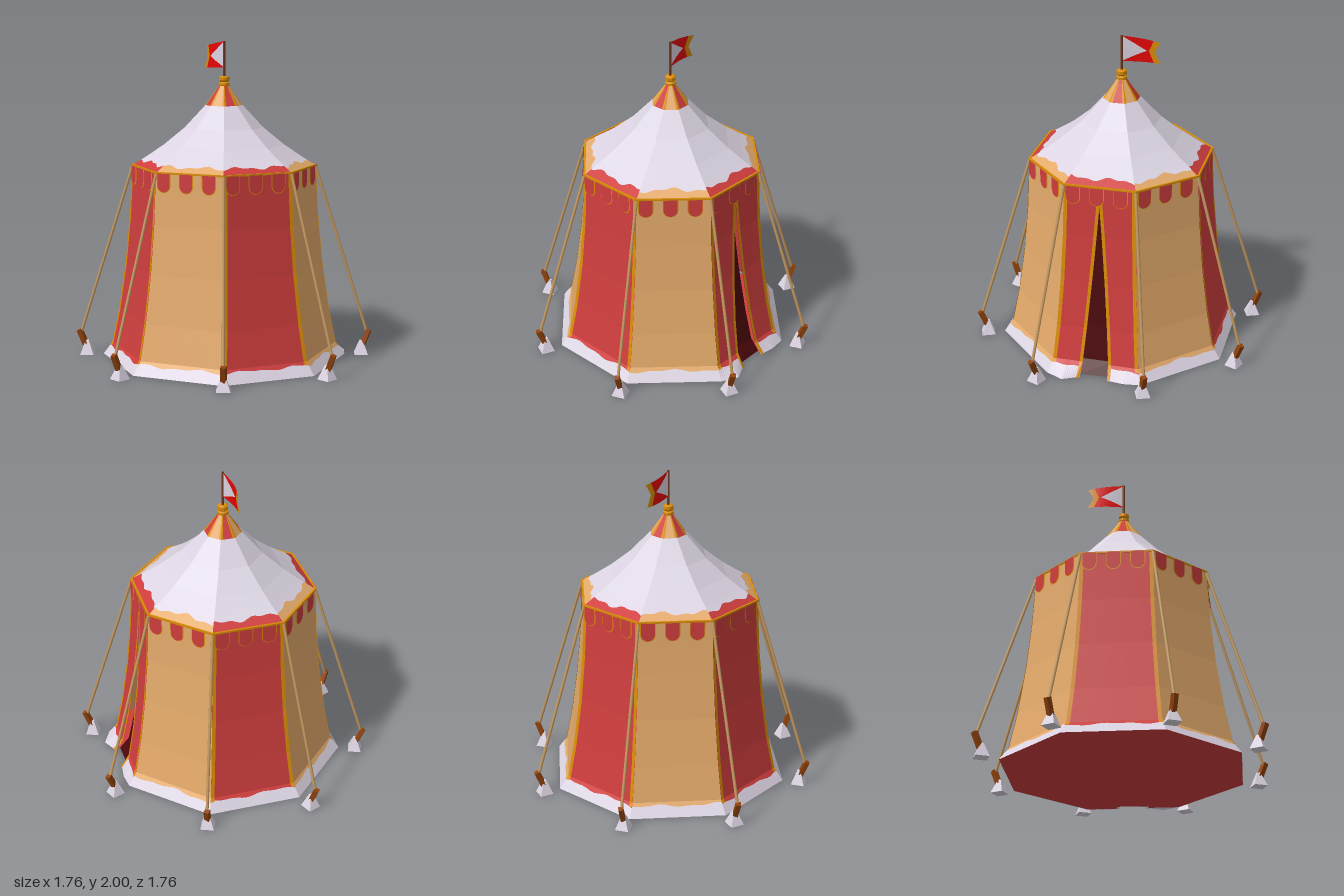
import * as THREE from 'three';

const mat = (name, color, side = THREE.FrontSide, flatShading = true) => {
  const m = new THREE.MeshStandardMaterial({ color, side, flatShading });
  m.name = name;
  return m;
};
const D = THREE.DoubleSide;
const M = {
  red: mat('red cloth', 0xcf3d3d, D),
  tan: mat('tan cloth', 0xe4aa6b, D),
  white: mat('white cloth', 0xdcd4e2, D),
  gold: mat('gold trim', 0xd98c06, D),
  flagRed: mat('flag red', 0xe60606, D),
  dark: mat('dark interior', 0x4a0608, D),
  wood: mat('stake wood', 0x90420c),
  pole: mat('pole wood', 0x70381e, THREE.FrontSide, false),
  rope: mat('rope', 0xc2975f, THREE.FrontSide, false),
};

// Grid surface from a rule f(a, b) with a, b in 0..1
function surface(name, f, nu, nv, material) {
  const p = [];
  for (let j = 0; j < nv; j++) for (let i = 0; i < nu; i++) {
    const q = (a, b) => f((i + a) / nu, (j + b) / nv);
    p.push(...q(0, 0), ...q(1, 0), ...q(1, 1), ...q(0, 0), ...q(1, 1), ...q(0, 1));
  }
  const g = new THREE.BufferGeometry();
  g.setAttribute('position', new THREE.Float32BufferAttribute(p, 3));
  g.computeVertexNormals();
  const m = new THREE.Mesh(g, material);
  m.name = name;
  return m;
}

// Profiles: [height, distance from centre to the flat side]
const WALL = [[0, 0.715], [0.08, 0.66], [0.3, 0.618], [0.6, 0.577], [0.9, 0.55], [1.1, 0.54], [1.22, 0.535]];
const ROOF = [[1.22, 0.535], [1.28, 0.447], [1.35, 0.352], [1.46, 0.228], [1.6, 0.108], [1.7, 0.042], [1.73, 0.025]];
const T = Math.tan(Math.PI / 8);
function apothem(profile, y) {
  let i = 1;
  while (i < profile.length - 1 && profile[i][0] < y) i++;
  const [y0, a0] = profile[i - 1], [y1, a1] = profile[i];
  return a0 + (a1 - a0) * (y - y0) / (y1 - y0);
}

// Point on side k of the octagon; u runs -1..1 across it
function onSide(k, profile, u, y, off = 0) {
  const t = k * Math.PI / 4, a = apothem(profile, y), w = a * T * u;
  // gathered hem beside the doorway
  let flare = 0;
  if (profile === WALL && k === 0 && y < 0.08)
    flare = (u < 0 ? 0.05 : 0.012) * (1 - y / 0.08) * Math.max(0, 1 - Math.abs(Math.abs(u) - 0.65) / 0.35);
  const r = a + off + flare;
  return [r * Math.cos(t) + w * Math.sin(t), y, r * Math.sin(t) - w * Math.cos(t)];
}

// Cloth on one side, one strip per profile step; lo, hi are heights by u; uRange gives edges by y
function cloth(group, name, k, profile, lo, hi, uRange, material, nu = 1, off = 0) {
  const mid = profile.map(p => p[0]).filter(y => y > lo(0) + 0.008 && y < hi(0) - 0.008);
  const rows = [lo, ...mid.map(y => () => y), hi];
  for (let r = 0; r < rows.length - 1; r++)
    group.add(surface(name, (a, b) => {
      const at = y => { const [u0, u1] = uRange(y); return u0 + (u1 - u0) * a; };
      const guess = at(rows[r + (b > 0.5 ? 1 : 0)](0));
      const y0 = rows[r](guess), y1 = rows[r + 1](guess), y = y0 + (y1 - y0) * b;
      return onSide(k, profile, at(y), y, off);
    }, nu, 1, material));
}

function rod(name, a, b, r, material, sides = 10) {
  const va = new THREE.Vector3(...a), d = new THREE.Vector3(...b).sub(va);
  const m = new THREE.Mesh(new THREE.CylinderGeometry(r, r, d.length(), sides), material);
  m.position.copy(va).addScaledVector(d, 0.5);
  m.quaternion.setFromUnitVectors(new THREE.Vector3(0, 1, 0), d.normalize());
  m.name = name;
  return m;
}

// Round-ended tab hanging down from its origin
function tab(w, h) {
  const s = new THREE.Shape();
  s.moveTo(w, 0);
  s.lineTo(-w, 0);
  s.lineTo(-w, -h + w);
  s.absarc(0, -h + w, w, Math.PI, Math.PI * 2, false);
  return new THREE.ShapeGeometry(s, 8);
}

export function createModel() {
  const root = new THREE.Group();
  root.name = 'tent';
  const part = name => { const g = new THREE.Group(); g.name = name; root.add(g); return g; };
  const walls = part('walls'), roof = part('roof'), trim = part('trim');
  const valance = part('valance'), ropes = part('ropes'), banner = part('banner');

  const full = () => [-1, 1];
  const flat = y => () => y;
  const doorW = y => Math.max(0, 0.088 * (1 - y / 1.1)) / (apothem(WALL, y) * T);
  const tabGeo = tab(0.041, 0.112), edgeGeo = tab(0.046, 0.117);

  for (let k = 0; k < 8; k++) {
    const axial = k % 2 === 0, main = axial ? M.red : M.tan;
    const wave = (y, s) => u => y + s * (0.006 * Math.sin(4.5 * u + k * 2) + 0.004 * Math.sin(10 * u + k));

    // walls with a pale hem; side 0 is parted by the doorway
    const spans = k ? [full] : [y => [-1, -doorW(y)], y => [doorW(y), 1]];
    for (const span of spans) {
      cloth(walls, 'hem', k, WALL, flat(0), wave(0.06, 1), span, M.white, 16);
      cloth(walls, 'wallPanel', k, WALL, wave(0.06, 1), flat(1.22), span, main, 16);
    }

    // roof: coloured border, pale field, coloured cap with gold edges
    cloth(roof, 'roofBorder', k, ROOF, flat(1.22), wave(1.256, 1.1), full, main, 20);
    cloth(roof, 'roofField', k, ROOF, wave(1.256, 1.1), flat(1.6), full, M.white, 20);
    cloth(roof, 'roofCap', k, ROOF, flat(1.6), flat(1.73), () => [-0.7, 0.7], main);
    for (const s of [-1, 1])
      cloth(roof, 'roofCapEdge', k, ROOF, flat(1.6), flat(1.73), () => s > 0 ? [0.7, 1] : [-1, -0.7], M.gold);

    // gold seams down both edges of the red panels, and along the eave
    if (axial) for (const s of [-1, 1]) {
      const seam = y => { const e = 1 - 0.023 / (apothem(WALL, y) * T); return s > 0 ? [e, 1] : [-1, -e]; };
      cloth(trim, 'cornerSeam', k, WALL, flat(0.06), flat(1.22), seam, M.gold, 1, 0.0025);
    }
    const eave = new THREE.Mesh(new THREE.BoxGeometry(0.447, 0.011, 0.012), M.gold);
    eave.name = 'eaveTrim';
    eave.position.set(...onSide(k, WALL, 0, 1.222));
    eave.rotation.y = Math.PI / 2 - k * Math.PI / 4;
    trim.add(eave);

    // scalloped valance outlined in gold
    for (let i = -1; i <= 1; i++) {
      const add = (name, geo, material, off) => {
        const m = new THREE.Mesh(geo, material);
        m.name = name;
        m.position.set(...onSide(k, WALL, i * 0.667 - 0.08, 1.22, off));
        m.rotation.y = Math.PI / 2 - k * Math.PI / 4;
        valance.add(m);
      };
      add('scallopEdge', edgeGeo, M.gold, 0.009);
      add('scallop', tabGeo, M.red, 0.012);
    }

    // guy rope, stake and its stone
    const t = (k + 0.5) * Math.PI / 4, c = Math.cos(t), s = Math.sin(t);
    const at = (r, y) => [r * c, y, r * s];
    ropes.add(rod('guyRope', at(0.578, 1.215), at(0.92, 0.13), 0.0095, M.rope));
    ropes.add(rod('stake', at(0.888, 0.06), at(0.928, 0.157), 0.022, M.wood, 4));
    const stone = new THREE.Mesh(new THREE.CylinderGeometry(0.014, 0.06, 0.09, 4), M.white);
    stone.name = 'stakeStone';
    stone.position.set(...at(0.88, 0.045));
    stone.rotation.y = Math.PI / 4 - t;
    ropes.add(stone);
  }

  // doorway: dark inside and gold borders
  cloth(walls, 'doorway', 0, WALL, flat(0.002), flat(1.1), y => [-doorW(y) - 0.06, doorW(y) + 0.06], M.dark, 1, -0.04);
  for (const s of [-1, 1])
    cloth(trim, 'doorBorder', 0, WALL, flat(0), flat(1.12),
      y => { const a = doorW(y), b = a + 0.02 / (apothem(WALL, y) * T); return s > 0 ? [a, b] : [-b, -a]; },
      M.gold, 1, 0.004);

  // groundsheet, cut back at the doorway
  const outline = [];
  for (let k = 0; k < 8; k++) {
    const t = (k + 0.5) * Math.PI / 4;
    outline.push(new THREE.Vector2(0.773 * Math.cos(t), 0.773 * Math.sin(t)));
  }
  for (const [x, y] of [[0.714, -0.1], [0.674, -0.1], [0.674, 0.1], [0.714, 0.1]]) outline.push(new THREE.Vector2(x, y));
  const floor = new THREE.Mesh(new THREE.ShapeGeometry(new THREE.Shape(outline)), M.red);
  floor.name = 'groundsheet';
  floor.rotation.x = Math.PI / 2;
  floor.position.y = 0.001;
  root.add(floor);

  // finial and flagpole
  const profile = [[0, 1.69], [0.03, 1.695], [0.026, 1.715], [0.034, 1.725], [0.034, 1.738], [0.024, 1.745],
    [0.033, 1.755], [0.033, 1.775], [0.022, 1.782], [0, 1.782]];
  const finial = new THREE.Mesh(new THREE.LatheGeometry(profile.map(p => new THREE.Vector2(...p)), 12), M.gold);
  finial.name = 'finial';
  banner.add(finial, rod('flagpole', [0, 1.77, 0], [0, 2, 0], 0.008, M.pole));

  // swallow-tailed flag, streaming to the back in a gentle curl and leaning slightly
  const fly = (s, t) => [-0.033 * Math.sin(s * 9) + 0.05 * s * (t - 0.5),
    1.835 + 0.163 * t - 0.05 * s * (1 - t) - 0.15 * s * t, -s];
  const vee = t => Math.abs(2 * t - 1);
  const edges = [() => 0, t => 0.15 * (1 - vee(t)), t => 0.162 + 0.03 * vee(t), t => 0.198 + 0.037 * vee(t)];
  [['flagField', M.white], ['flagBand', M.flagRed], ['flagTail', M.gold]].forEach(([name, m], i) =>
    banner.add(surface(name, (a, t) => fly(edges[i](t) + (edges[i + 1](t) - edges[i](t)) * a, t), 5, 8, m)));

  return root;
}
